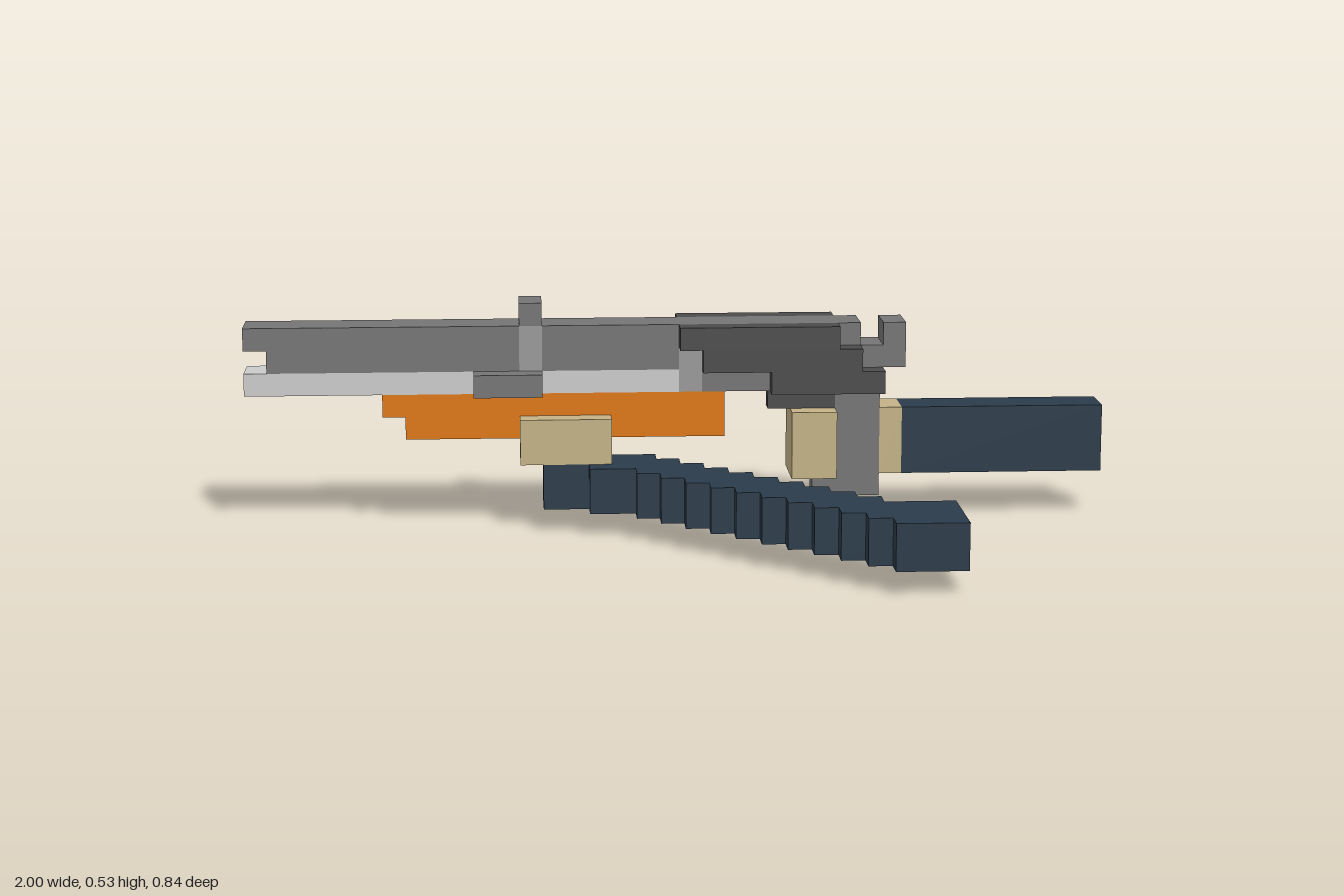
import * as THREE from 'three';

// Everything sits on a cubic grid of 38 x 10 x 16 cells.
const U = 1 / 19;
const material = (color) => new THREE.MeshStandardMaterial({ color, flatShading: true });

export function createModel() {
  const model = new THREE.Group();
  const grey = material(0x757575), dark = material(0x4b4b4b), pale = material(0xd6d4d3);
  const silver = material(0x999999), orange = material(0xde760e);
  const tan = material(0xc5b387), navy = material(0x2a3b4a);

  // Block from grid cell limits: x 0..38, y 0..10, z -8..8
  function block(name, mat, x0, x1, y0, y1, z0, z1) {
    const mesh = new THREE.Mesh(new THREE.BoxGeometry((x1 - x0) * U, (y1 - y0) * U, (z1 - z0) * U), mat);
    mesh.position.set(((x0 + x1) / 2 - 19) * U, ((y0 + y1) / 2) * U, ((z0 + z1) / 2) * U);
    mesh.name = name;
    model.add(mesh);
  }

  // Barrel, with a notch at the muzzle
  block('barrelTop', grey, 0, 12, 8, 9, -7, -5);
  block('barrelBody', grey, 1, 12, 7, 8, -7, -5);
  block('barrelBand', silver, 12, 13, 7, 9, -7, -5);
  block('frontSight', grey, 12, 13, 9, 10, -7, -5);
  block('barrelRear', grey, 13, 19, 7, 9, -7, -5);
  block('lowerTube', pale, 0, 19, 6, 7, -7, -5);
  block('tubeEnd', silver, 19, 20, 6, 8, -7, -5);

  // Receiver and hammer
  block('receiverTop', grey, 19, 27, 8, 9, -7, -5);
  block('receiverMiddle', grey, 20, 28, 7, 8, -7, -5);
  block('receiverBottom', grey, 20, 28, 6, 7, -7, -5);
  block('hammer', grey, 28, 29, 7, 9, -7, -5);

  // Mirrored side plates and rails
  for (const [z0, z1] of [[-8, -7], [-5, -4]]) {
    block('sidePlateTop', dark, 19, 26, 8, 9, z0, z1);
    block('sidePlateMiddle', dark, 20, 27, 7, 8, z0, z1);
    block('sidePlateBottom', dark, 23, 28, 6, 7, z0, z1);
    block('sideRail', grey, 10, 13, 6, 7, z0, z1);
  }
  block('receiverUnderside', dark, 23, 26, 5, 6, -7, -6);

  // Fore-end and the hand holding it
  block('foreEndTop', orange, 6, 21, 5, 6, -7, -5);
  block('foreEndBottom', orange, 7, 21, 4, 5, -7, -5);
  block('frontHand', tan, 12, 16, 3, 5, -8, -4);

  // Stepped grip
  block('gripColumn', grey, 26, 28, 2, 6, -7, -6);
  block('gripMiddle', grey, 25, 28, 1, 2, -7, -6);
  block('gripBase', grey, 24, 27, 0, 1, -7, -6);

  // Rear hand wrapped round the grip, and its straight sleeve
  block('rearHandPalm', tan, 24, 29, 2, 5, -8, -7);
  block('rearHandFingers', tan, 24, 26, 2, 5, -7, -5);
  block('rearHandWrist', tan, 28, 29, 2, 5, -7, -6);
  block('rearSleeve', navy, 29, 38, 2, 5, -8, -6);

  // Diagonal front sleeve, one row per step in z
  for (let z = -5; z <= 8; z++) {
    const left = z <= -4 ? 13 : z === -3 ? 15 : z + 19;
    const right = z >= 5 ? 30 : z + 23;
    block('frontSleeve', navy, left, right, 1, 3, z - 1, z);
  }
  return model;
}
